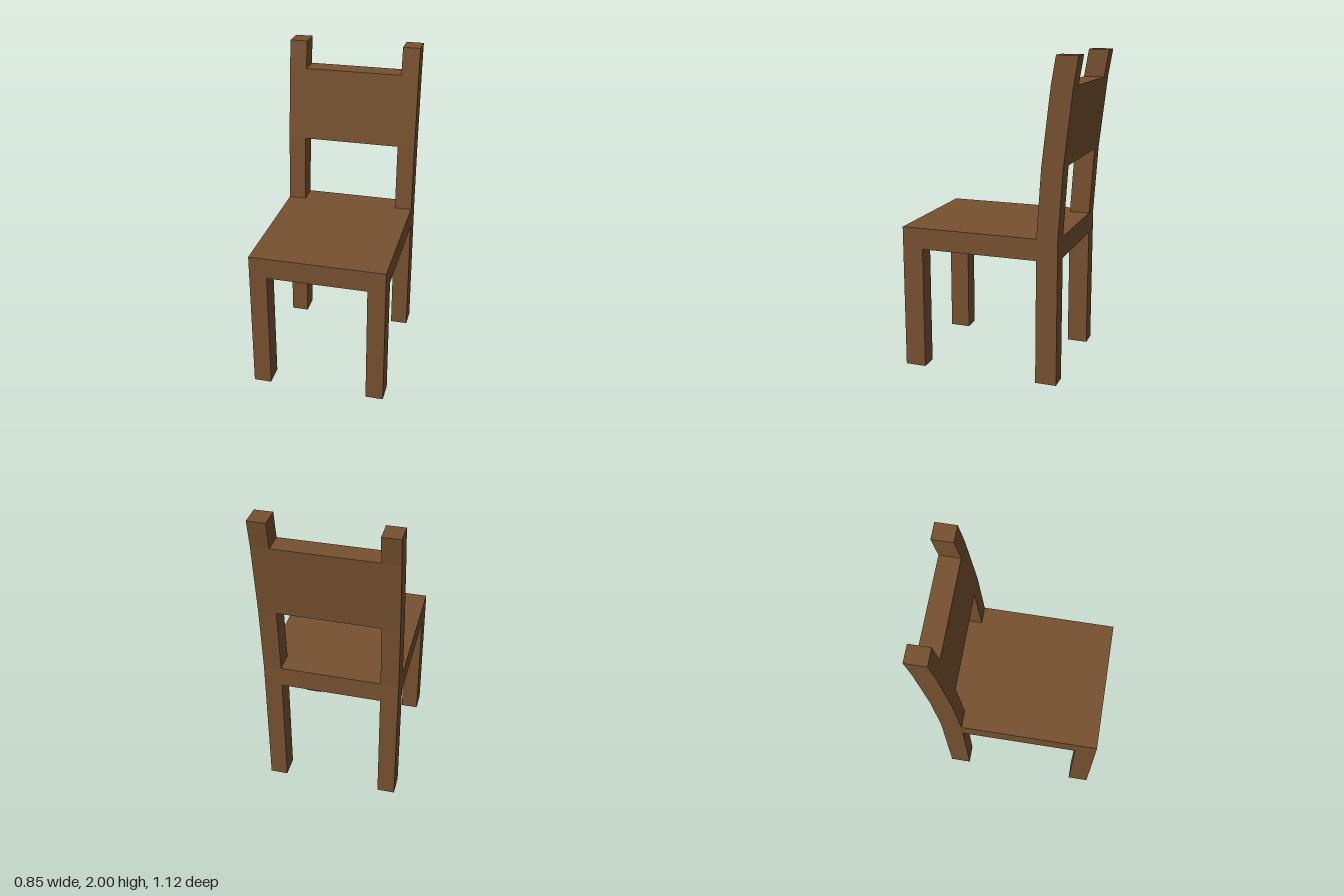
import * as THREE from 'three';

const HALF = 0.427, INNER = 0.315;       // outer and inner faces of the legs in x
const DEPTH = 0.133;                     // thickness of legs, posts and back panel in z
const SEAT_BOTTOM = 0.785, SEAT_TOP = 0.92;
const FRONT = 0.56, BACK = -0.452;

// Lofts a rectangle upward through [y, frontZ] levels, with optional faces.
function loft(x0, x1, levels, { sides = true, top = false, bottom = false } = {}) {
  const pos = [];
  const quad = (a, b, c, d) => pos.push(...a, ...b, ...c, ...a, ...c, ...d);
  const ring = ([y, z]) => [
    [x0, y, z], [x1, y, z], [x1, y, z - DEPTH], [x0, y, z - DEPTH],
  ];
  for (let i = 0; i < levels.length - 1; i++) {
    const lo = ring(levels[i]), hi = ring(levels[i + 1]);
    for (let k = 0; k < 4; k++) {
      if (!sides && k % 2 === 1) continue;
      const n = (k + 1) % 4;
      quad(lo[k], lo[n], hi[n], hi[k]);
    }
  }
  if (top) quad(...ring(levels[levels.length - 1]));
  if (bottom) quad(...ring(levels[0]).reverse());
  const geometry = new THREE.BufferGeometry();
  geometry.setAttribute('position', new THREE.Float32BufferAttribute(pos, 3));
  geometry.computeVertexNormals();
  return geometry;
}

export function createModel() {
  const chair = new THREE.Group();
  chair.name = 'chair';
  const wood = new THREE.MeshStandardMaterial({ color: 0x76512f, side: THREE.DoubleSide });
  wood.name = 'brown wood';

  const add = (name, geometry) => {
    const mesh = new THREE.Mesh(geometry, wood);
    mesh.name = name;
    chair.add(mesh);
    return mesh;
  };

  // Seat slab
  add('seat', new THREE.BoxGeometry(2 * HALF, SEAT_TOP - SEAT_BOTTOM, FRONT - BACK))
    .position.set(0, (SEAT_TOP + SEAT_BOTTOM) / 2, (FRONT + BACK) / 2);

  // Front line of the backward-curving backrest
  const rear = BACK + DEPTH;
  const low = [1.355, -0.346], high = [1.825, -0.398];
  const curve = [[SEAT_TOP, rear], low, high, [2, -0.427]];

  // Hollow legs, open underneath, and the backrest posts
  for (const [side, x0, x1] of [['left', INNER, HALF], ['right', -HALF, -INNER]]) {
    add(`${side}FrontLeg`, loft(x0, x1, [[0, FRONT], [SEAT_BOTTOM, FRONT]]));
    add(`${side}RearLeg`, loft(x0, x1, [[0, rear], [SEAT_BOTTOM, rear]]));
    add(`${side}BackPost`, loft(x0, x1, curve, { top: true }));
  }

  // Panel flush between the posts
  add('backPanel', loft(-INNER, INNER, [low, high], { sides: false, top: true, bottom: true }));

  return chair;
}
